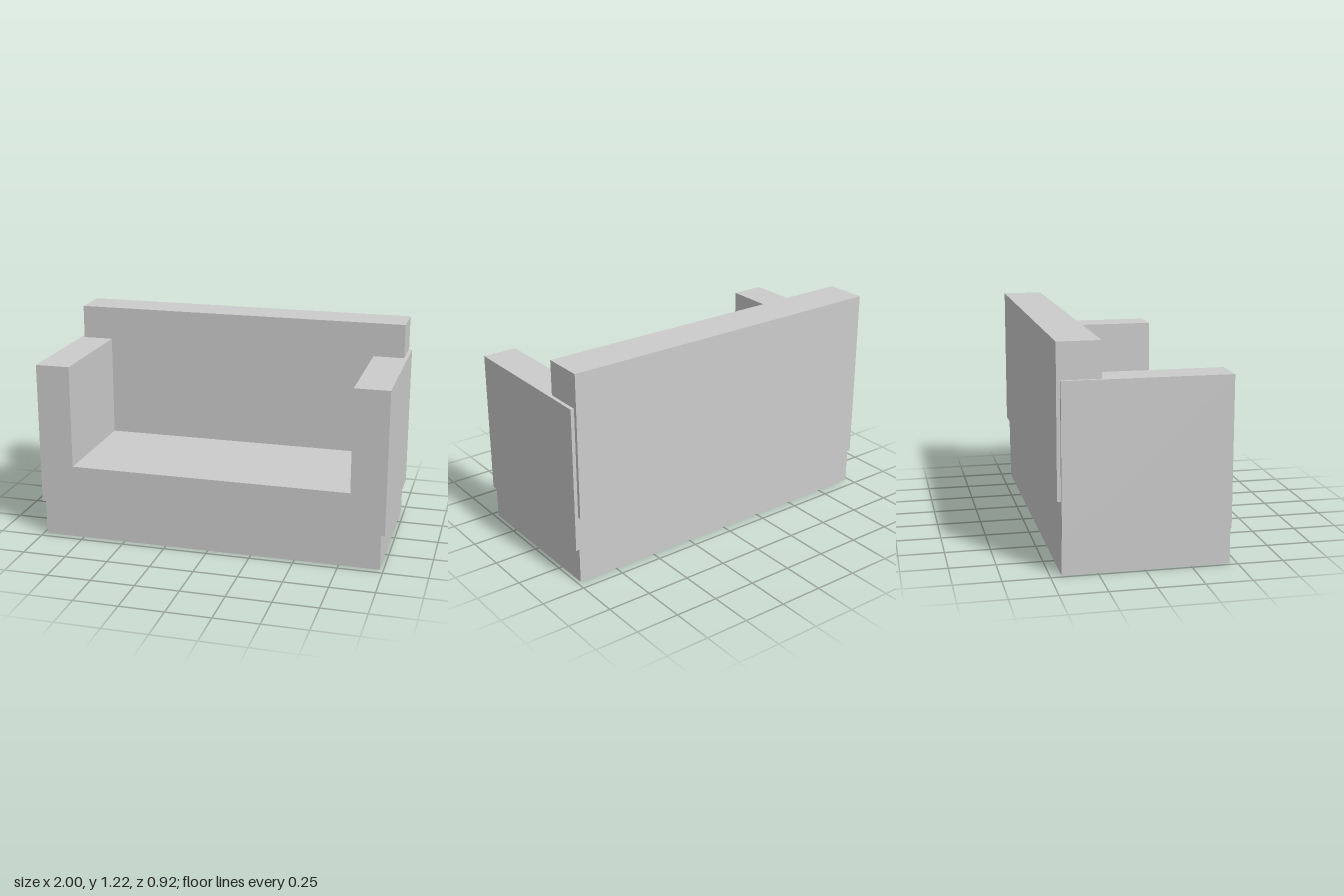
import * as THREE from 'three';

export function createModel() {
  const sofa = new THREE.Group();
  sofa.name = 'sofa';
  const material = new THREE.MeshStandardMaterial({ color: 0xcccccc, flatShading: true });

  // Adds a box spanning two opposite corners
  function addBlock(name, min, max) {
    const size = max.map((v, i) => v - min[i]);
    const mesh = new THREE.Mesh(new THREE.BoxGeometry(...size), material);
    mesh.position.set(...max.map((v, i) => (v + min[i]) / 2));
    mesh.name = name;
    sofa.add(mesh);
  }

  const front = 0.46, rear = -0.44;

  // Solid seat reaching the floor
  addBlock('seatBase', [-0.98, 0, rear], [0.98, 0.43, front]);

  // Backrest, slightly proud of the base at the rear
  addBlock('backrest', [-0.98, 0.395, -0.46], [0.98, 1.215, -0.228]);

  // Armrests, slightly proud of the base at the sides
  addBlock('leftArmrest', [0.803, 0.2, rear], [1, 1.02, front]);
  addBlock('rightArmrest', [-1, 0.2, rear], [-0.803, 1.02, front]);

  return sofa;
}
